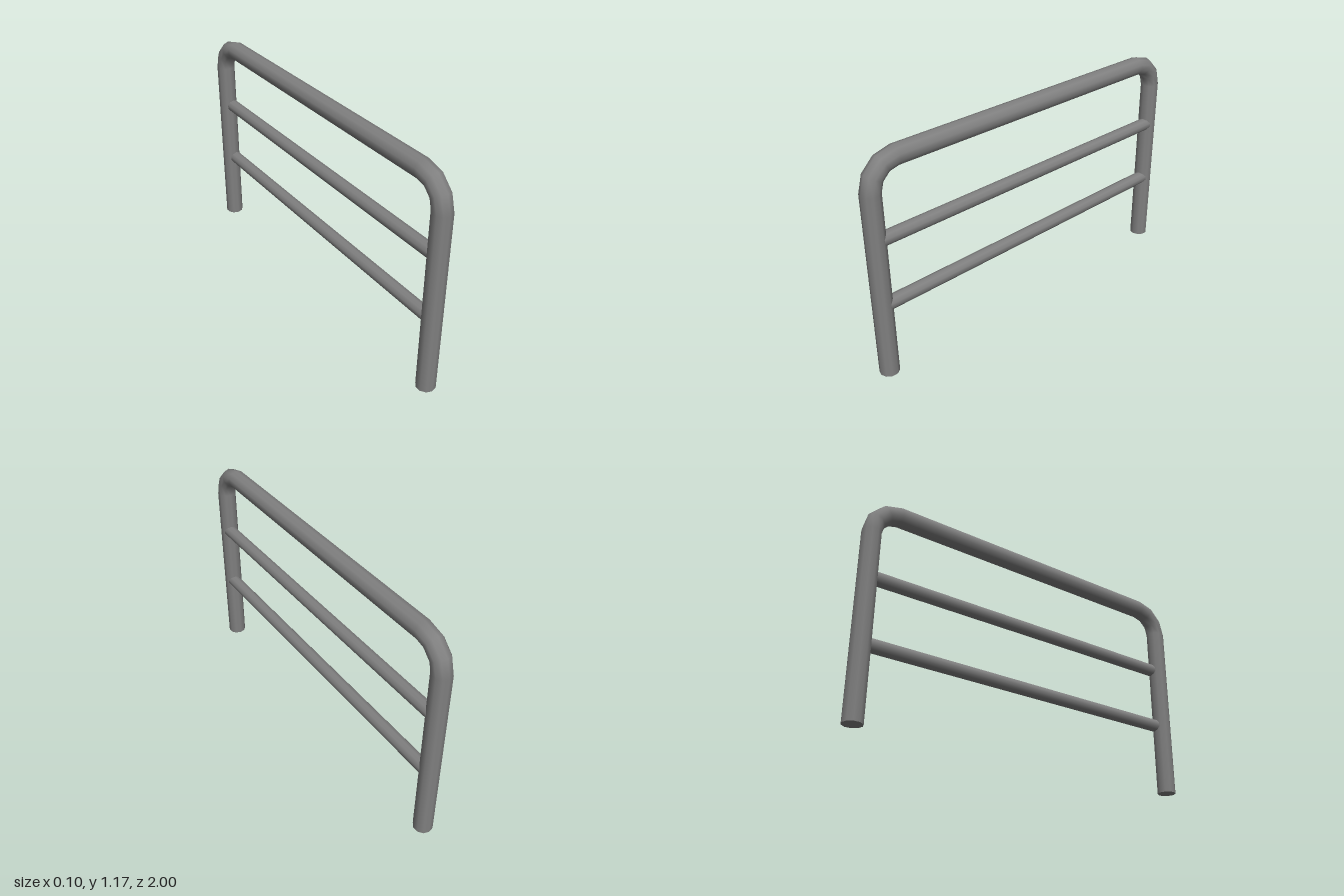
import * as THREE from 'three';

const SIDES = 10;
const R = 0.05;        // main tube radius
const BAR_R = 0.035;   // crossbar radius
const BAR_X = 0.01;    // crossbars sit slightly off the frame plane
const HALF = 0.95;     // post centre line
const TOP = 1.125;     // top rail centre line
const BEND = 0.14;     // bend radius of the centre line
const BEND_STEPS = 3;

// Sweeps a round section along stations { y, z, angle } lying in the x = 0 plane;
// angle is the direction of the outward side of the bend, measured from +z.
function sweep(stations, radius) {
  const positions = [], normals = [], index = [];
  for (const { y, z, angle } of stations) {
    for (let j = 0; j <= SIDES; j++) {
      const a = (j / SIDES) * Math.PI * 2;
      const n = [Math.sin(a), Math.cos(a) * Math.sin(angle), Math.cos(a) * Math.cos(angle)];
      normals.push(...n);
      positions.push(n[0] * radius, y + n[1] * radius, z + n[2] * radius);
    }
  }
  const row = SIDES + 1;
  for (let i = 0; i < stations.length - 1; i++) {
    for (let j = 0; j < SIDES; j++) {
      const a = i * row + j, b = a + row;
      index.push(a, a + 1, b, a + 1, b + 1, b);
    }
  }
  const geometry = new THREE.BufferGeometry();
  geometry.setAttribute('position', new THREE.Float32BufferAttribute(positions, 3));
  geometry.setAttribute('normal', new THREE.Float32BufferAttribute(normals, 3));
  geometry.setIndex(index);
  return geometry;
}

export function createModel() {
  const model = new THREE.Group();
  model.name = 'barrier';
  const material = new THREE.MeshStandardMaterial({ color: 0x808080 });
  const add = (name, geometry) => {
    const mesh = new THREE.Mesh(geometry, material);
    mesh.name = name;
    model.add(mesh);
    return mesh;
  };

  // Bent frame: front post, front bend, top rail, back bend, back post
  const stations = [{ y: 0, z: HALF, angle: 0 }];
  for (const side of [1, -1]) {
    for (let i = 0; i <= BEND_STEPS; i++) {
      const angle = (i / BEND_STEPS + (side < 0 ? 1 : 0)) * Math.PI / 2;
      stations.push({
        y: TOP - BEND + BEND * Math.sin(angle),
        z: side * (HALF - BEND) + BEND * Math.cos(angle),
        angle,
      });
    }
  }
  stations.push({ y: 0, z: -HALF, angle: Math.PI });
  add('frameTube', sweep(stations, R));

  // Closed feet of the posts
  for (const [name, z] of [['frontFoot', HALF], ['backFoot', -HALF]]) {
    const cap = new THREE.CircleGeometry(R, SIDES, Math.PI / 2).rotateX(Math.PI / 2);
    add(name, cap).position.z = z;
  }

  // Crossbars running into the posts
  for (const [name, y] of [['lowerCrossbar', 0.396], ['upperCrossbar', 0.746]]) {
    const bar = new THREE.CylinderGeometry(BAR_R, BAR_R, HALF * 2, SIDES).rotateX(Math.PI / 2);
    add(name, bar).position.set(BAR_X, y, 0);
  }

  return model;
}
